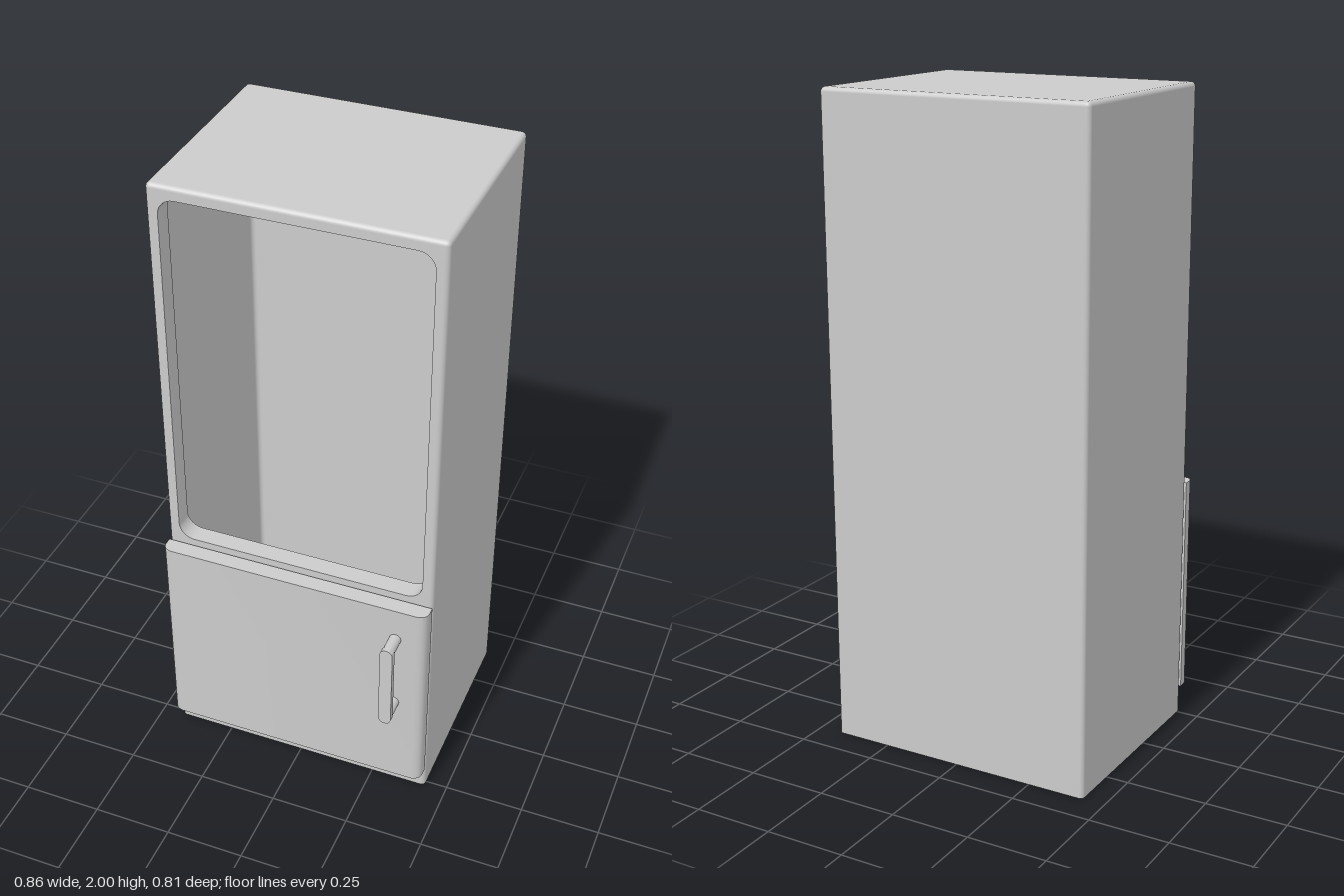
import * as THREE from 'three';
import { toCreasedNormals } from 'three/addons/utils/BufferGeometryUtils.js';

const W = 0.43, H = 2, BACK = -0.405, FRONT = 0.268, R = 0.014;
const solid = new THREE.MeshStandardMaterial({ color: 0xcccccc });
const thin = new THREE.MeshStandardMaterial({ color: 0xcccccc, side: THREE.DoubleSide });

function add(parent, name, geometry, material = solid) {
  const mesh = new THREE.Mesh(geometry, material);
  mesh.name = name;
  parent.add(mesh);
  return mesh;
}

// Skin joining rows of points; rows run counter-clockwise, front to back faces outward
function loft(rows) {
  const n = rows[0].length, index = [];
  for (let j = 0; j < rows.length - 1; j++) {
    for (let i = 0; i < n - 1; i++) {
      const a = j * n + i, b = a + 1, c = a + n, d = c + 1;
      index.push(a, c, b, b, c, d);
    }
  }
  const geometry = new THREE.BufferGeometry().setFromPoints(rows.flat());
  geometry.setIndex(index);
  return geometry;
}

// Counter-clockwise rounded rectangle outline
function roundRect(x0, y0, x1, y1, r, steps = 8) {
  const pts = [];
  const centres = [[x1 - r, y1 - r], [x0 + r, y1 - r], [x0 + r, y0 + r], [x1 - r, y0 + r]];
  centres.forEach(([cx, cy], q) => {
    for (let k = 0; k <= steps; k++) {
      const a = (q + k / steps) * Math.PI / 2;
      pts.push(new THREE.Vector2(cx + r * Math.cos(a), cy + r * Math.sin(a)));
    }
  });
  return pts;
}

// Sides and top of the cabinet, with rounded edges and an open bottom
function cabinetSkin() {
  const steps = 5, rows = [], normals = [];
  const addRow = (z, t, facing) => {
    const row = [], s = Math.sin(t);
    const push = (sx, a, y) => {
      const nx = Math.cos(a) * s, ny = Math.sin(a) * s;
      row.push(new THREE.Vector3(sx * (W - R) + R * nx, y ?? H - R + R * ny, z));
      normals.push(nx, ny, facing * Math.cos(t));
    };
    push(1, 0, 0);
    for (let k = 0; k <= steps; k++) push(1, k / steps * Math.PI / 2);
    for (let k = 0; k <= steps; k++) push(-1, (1 + k / steps) * Math.PI / 2);
    push(-1, Math.PI, 0);
    rows.push(row);
  };
  for (let k = 0; k <= steps; k++) {
    const t = k / steps * Math.PI / 2;
    addRow(FRONT - R + R * Math.cos(t), t, 1);
  }
  for (let k = steps; k >= 0; k--) {
    const t = k / steps * Math.PI / 2;
    addRow(BACK + R - R * Math.cos(t), t, -1);
  }
  const geometry = loft(rows);
  geometry.setAttribute('normal', new THREE.Float32BufferAttribute(normals, 3));
  return geometry;
}

function wallShape() {
  const w = W - R, h = H - R;
  return new THREE.Shape([[-w, 0], [w, 0], [w, h], [-w, h]].map(p => new THREE.Vector2(...p)));
}

export function createModel() {
  const model = new THREE.Group();
  model.name = 'cabinet';

  // Hollow cabinet
  const body = new THREE.Group();
  body.name = 'body';
  model.add(body);
  add(body, 'sidesAndTop', cabinetSkin(), thin);
  const back = add(body, 'backWall', new THREE.ShapeGeometry(wallShape()), thin);
  back.rotation.y = Math.PI;
  back.position.z = BACK;

  // Front wall with the rounded window opening
  const opening = roundRect(-0.395, 0.79, 0.395, 1.96, 0.05);
  const front = wallShape();
  front.holes.push(new THREE.Path(opening));
  add(body, 'frontWall', new THREE.ShapeGeometry(front), thin).position.z = FRONT;

  // Lip running inward around the opening
  const loop = [...opening, opening[0]];
  const lip = loft([FRONT - 0.06, FRONT].map(z => loop.map(p => new THREE.Vector3(p.x, p.y, z))));
  add(body, 'openingLip', toCreasedNormals(lip, 0.6), thin);

  // Door with softened vertical front edges, drawn in plan and extruded upward
  const half = [[0.43, 0.273], [0.43, 0.3], [0.427, 0.309], [0.422, 0.316], [0.414, 0.321], [0.402, 0.325]];
  const plan = [...half, ...half.map(([x, z]) => [-x, z]).reverse()];
  const doorShape = new THREE.Shape(plan.map(([x, z]) => new THREE.Vector2(x, -z)));
  const doorGeo = new THREE.ExtrudeGeometry(doorShape, { depth: 0.69, bevelEnabled: false });
  doorGeo.rotateX(-Math.PI / 2);
  add(model, 'door', toCreasedNormals(doorGeo, 0.6)).position.y = 0.08;

  // Handle: flat bar with rounded ends on two round posts
  const handle = new THREE.Group();
  handle.name = 'handle';
  handle.position.set(0.335, 0.53, 0);
  model.add(handle);
  const r = 0.02;
  const barShape = new THREE.Shape(roundRect(-r, -0.15, r, 0.15, r - 0.0005));
  const barGeo = new THREE.ExtrudeGeometry(barShape, { depth: 0.02, bevelEnabled: false });
  add(handle, 'handleBar', toCreasedNormals(barGeo, 0.6)).position.z = 0.384;
  for (const s of [1, -1]) {
    const post = add(handle, s > 0 ? 'upperPost' : 'lowerPost', new THREE.CylinderGeometry(0.0185, 0.0185, 0.068, 24));
    post.rotation.x = Math.PI / 2;
    post.position.set(0, s * 0.13, 0.354);
  }
  return model;
}
